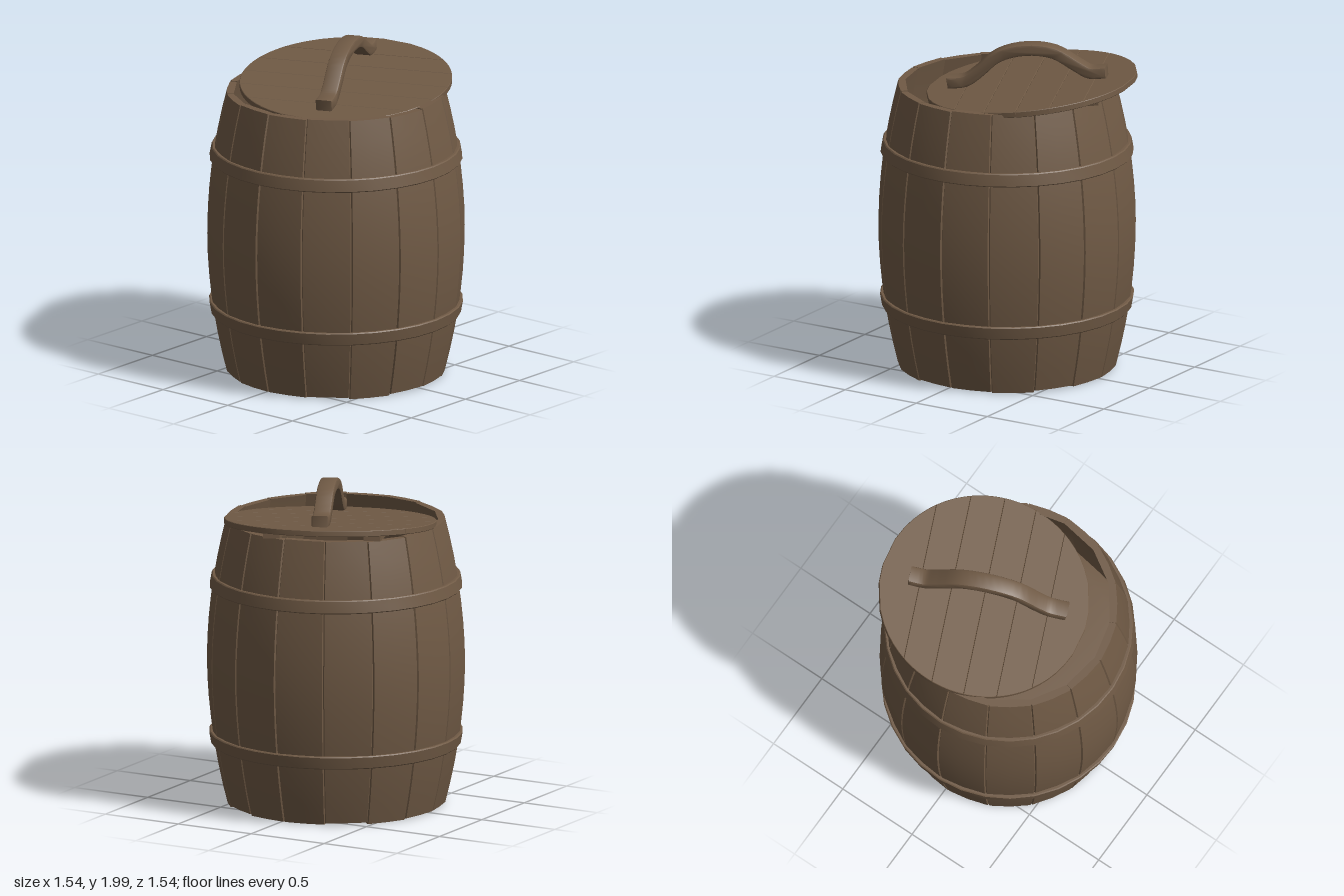
import * as THREE from 'three';
import { toCreasedNormals } from 'three/addons/utils/BufferGeometryUtils.js';

const STAVES = 16;
const STEP = (Math.PI * 2) / STAVES;
const OFFSET = 0.034;
const HEIGHT = 1.73;

// Barrel radius at a height: widest in the middle
const radiusAt = (y) => 0.768 - 0.118 * Math.pow(Math.abs(y - 0.87) / 0.86, 1.9);

// Closed solid from rings of [x, y, z], each counter-clockwise from above
function loft(rings) {
  const n = rings[0].length, last = (rings.length - 1) * n, index = [];
  for (let l = 0; l < rings.length - 1; l++) {
    for (let i = 0; i < n; i++) {
      const a = l * n + i, b = l * n + ((i + 1) % n);
      index.push(a, b, a + n, b, b + n, a + n);
    }
  }
  for (let i = 1; i < n - 1; i++) {
    index.push(0, i + 1, i, last, last + i, last + i + 1);
  }
  const g = new THREE.BufferGeometry();
  g.setAttribute('position', new THREE.Float32BufferAttribute(rings.flat(2), 3));
  g.setIndex(index);
  return toCreasedNormals(g, 0.5);
}

// One bowed stave, gently rounded outside, with small bevels at its seams
function staveGeometry(k) {
  const mid = OFFSET + (k + 0.5) * STEP, h = STEP / 2;
  const bottom = 0.014 + 0.006 * Math.sin(k * 2.3);
  const top = HEIGHT + 0.004 * Math.sin(k * 1.7);
  const rings = [];
  const levels = 14;
  for (let l = 0; l <= levels; l++) {
    const y = bottom + ((top - bottom) * l) / levels;
    const r = radiusAt(y);
    const section = [
      [r - 0.009, -h], [r, -h + 0.009], [r - 0.004, 0], [r, h - 0.009],
      [r - 0.009, h], [r - 0.04, h], [r - 0.04, -h],
    ];
    rings.push(section.map(([q, t]) => [q * Math.sin(mid + t), y, q * Math.cos(mid + t)]));
  }
  return loft(rings);
}

// Hoop following the slope of the barrel
function hoopGeometry(y0, y1) {
  const a = radiusAt(y0), b = radiusAt(y1), e = 0.006;
  const profile = [
    [a - 0.02, y0], [a + 0.011, y0], [a + 0.017, y0 + e],
    [b + 0.017, y1 - e], [b + 0.011, y1], [b - 0.02, y1], [a - 0.02, y0],
  ].map(([r, y]) => new THREE.Vector2(r, y));
  return toCreasedNormals(new THREE.LatheGeometry(profile, STAVES * 2, OFFSET), 0.5);
}

// Lid board: a slice of the disc between z0 and z1
function plankGeometry(z0, z1, radius, thick) {
  const right = [], left = [];
  for (let i = 0; i <= 6; i++) {
    const z = z0 + ((z1 - z0) * i) / 6;
    const x = Math.sqrt(Math.max(radius * radius - z * z, 0.0009));
    right.push(new THREE.Vector2(x, -z));
    left.unshift(new THREE.Vector2(-x, -z));
  }
  const shape = new THREE.Shape([...right, ...left].reverse());
  const g = new THREE.ExtrudeGeometry(shape, {
    depth: thick - 0.006, bevelThickness: 0.003, bevelSize: 0.003, bevelOffset: -0.003, bevelSegments: 1,
  });
  g.rotateX(-Math.PI / 2).translate(0, 0.003 - thick, 0);
  return toCreasedNormals(g, 0.5);
}

// Arched strap with a flat foot at each end
function handleGeometry() {
  const half = 0.034, above = [], below = [];
  const curve = new THREE.CatmullRomCurve3([
    [-0.47, 0.036], [-0.37, 0.04], [-0.3, 0.085], [-0.17, 0.176], [0, 0.207],
    [0.17, 0.176], [0.3, 0.085], [0.38, 0.04], [0.49, 0.036],
  ].map(([u, v]) => new THREE.Vector3(u, v, 0)));
  for (let i = 0; i <= 32; i++) {
    const p = curve.getPoint(i / 32), t = curve.getTangent(i / 32);
    above.unshift(new THREE.Vector2(p.x - t.y * half, p.y + t.x * half));
    below.push(new THREE.Vector2(p.x + t.y * half, p.y - t.x * half));
  }
  const g = new THREE.ExtrudeGeometry(new THREE.Shape([...below, ...above]), {
    depth: 0.08, bevelThickness: 0.012, bevelSize: 0.012, bevelOffset: -0.012, bevelSegments: 2,
  });
  g.translate(0, 0, -0.04).rotateY(-Math.PI / 2);
  return toCreasedNormals(g, 0.6);
}

export function createModel() {
  const model = new THREE.Group();
  model.name = 'barrel';
  const wood = new THREE.MeshStandardMaterial({ color: 0x705a45 });
  wood.name = 'brown wood';

  const add = (parent, name, geometry) => {
    const mesh = new THREE.Mesh(geometry, wood);
    mesh.name = name;
    parent.add(mesh);
    return mesh;
  };

  // Body
  const staves = new THREE.Group();
  staves.name = 'staves';
  model.add(staves);
  for (let k = 0; k < STAVES; k++) add(staves, 'stave', staveGeometry(k));
  add(model, 'lowerHoop', hoopGeometry(0.367, 0.446));
  add(model, 'upperHoop', hoopGeometry(1.315, 1.394));

  // Softly domed filling, closed on both sides
  const filling = add(model, 'filling', new THREE.SphereGeometry(0.74, 32, 12));
  filling.scale.y = 0.06;
  filling.position.y = 1;

  // Lid, shifted back and tipped forward into the mouth
  const lid = new THREE.Group();
  lid.name = 'lid';
  lid.position.set(-0.045, 1.757, -0.144);
  lid.rotation.set(0.115, 0.412, 0, 'YXZ');
  model.add(lid);
  const cuts = [-0.628, -0.39, -0.2, 0, 0.195, 0.39, 0.628];
  for (let i = 0; i < cuts.length - 1; i++) {
    add(lid, 'lidPlank', plankGeometry(cuts[i] + 0.0005, cuts[i + 1] - 0.0005, 0.63, 0.035));
  }
  for (const side of [-1, 1]) {
    const batten = add(lid, 'lidBatten', new THREE.BoxGeometry(0.1, 0.04, 0.96));
    batten.position.set(side * 0.3, -0.054, 0.03);
  }
  add(lid, 'handle', handleGeometry()).position.set(0.01, 0, 0.01);

  return model;
}
